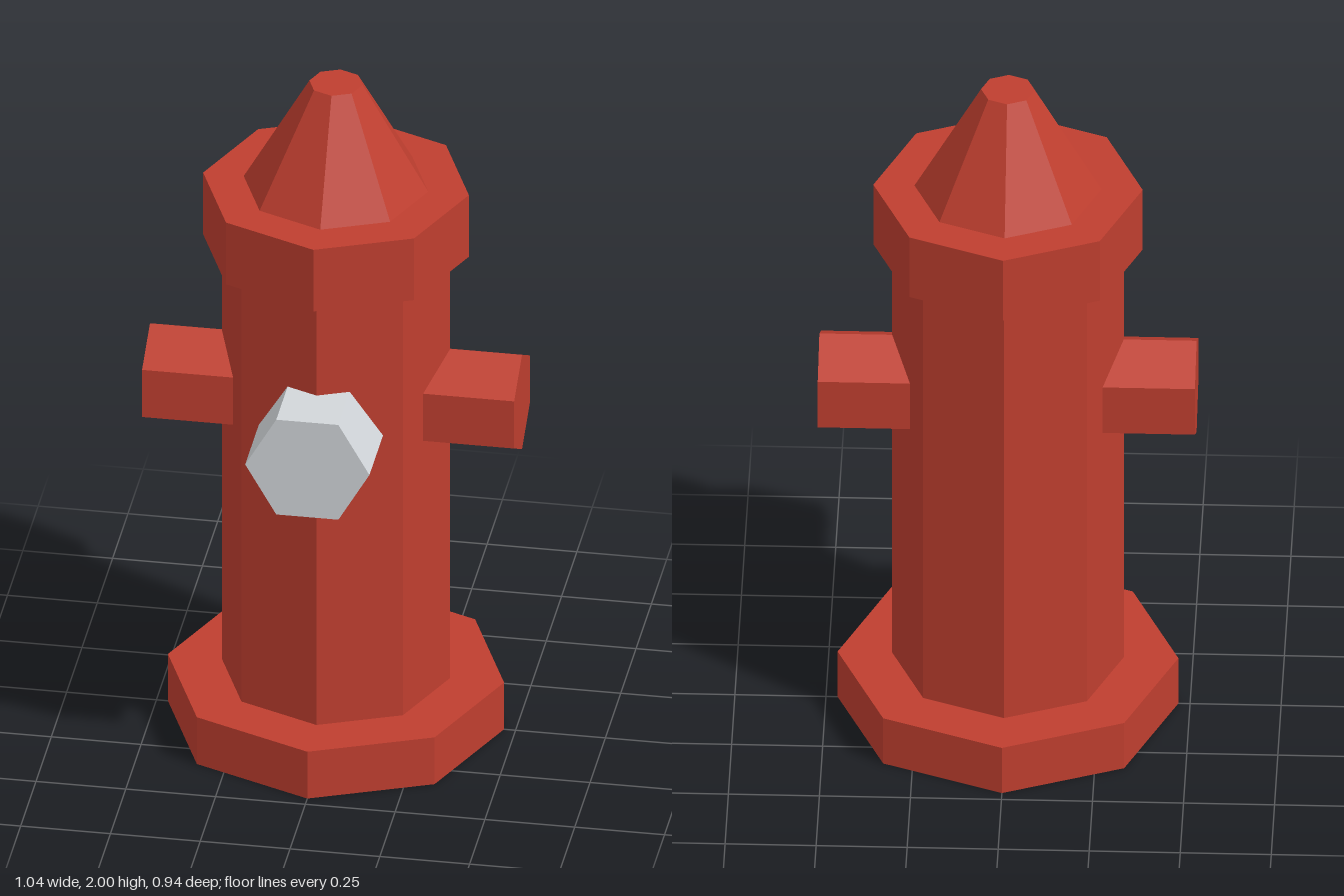
import * as THREE from 'three';

export function createModel() {
  const model = new THREE.Group();
  const red = new THREE.MeshStandardMaterial({ name: 'red paint', color: 0xbf3e2f, flatShading: true });
  const grey = new THREE.MeshStandardMaterial({ name: 'light grey metal', color: 0xd2d6da, flatShading: true });

  const add = (name, geometry, material) => {
    const mesh = new THREE.Mesh(geometry, material);
    mesh.name = name;
    model.add(mesh);
    return mesh;
  };

  // Stacked octagonal sections: name, bottom radius, top radius, bottom y, top y
  const sections = [
    ['base', 0.468, 0.468, 0, 0.148],
    ['barrel', 0.318, 0.318, 0.148, 1.485],
    ['collar', 0.37, 0.37, 1.485, 1.68],
    ['bonnet', 0.257, 0.074, 1.68, 2],
  ];
  for (const [name, bottom, top, y0, y1] of sections) {
    add(name, new THREE.CylinderGeometry(top, bottom, y1 - y0, 8).translate(0, (y0 + y1) / 2, 0), red);
  }

  // Hexagonal outlets, each running outward from inside the barrel
  const start = 0.2, end = 0.518, outletY = 1.04;
  for (const side of [1, -1]) {
    const arm = new THREE.CylinderGeometry(0.149, 0.149, end - start, 6).rotateY(Math.PI / 2).rotateZ(Math.PI / 2);
    add(side > 0 ? 'leftOutlet' : 'rightOutlet', arm, red)
      .position.set(side * (start + end) / 2, outletY, 0);
  }

  const frontEnd = 0.468;
  const cap = new THREE.CylinderGeometry(0.173, 0.173, frontEnd - start, 6).rotateY(Math.PI / 2).rotateX(Math.PI / 2);
  add('frontOutletCap', cap, grey).position.set(0, outletY, (start + frontEnd) / 2);

  return model;
}
